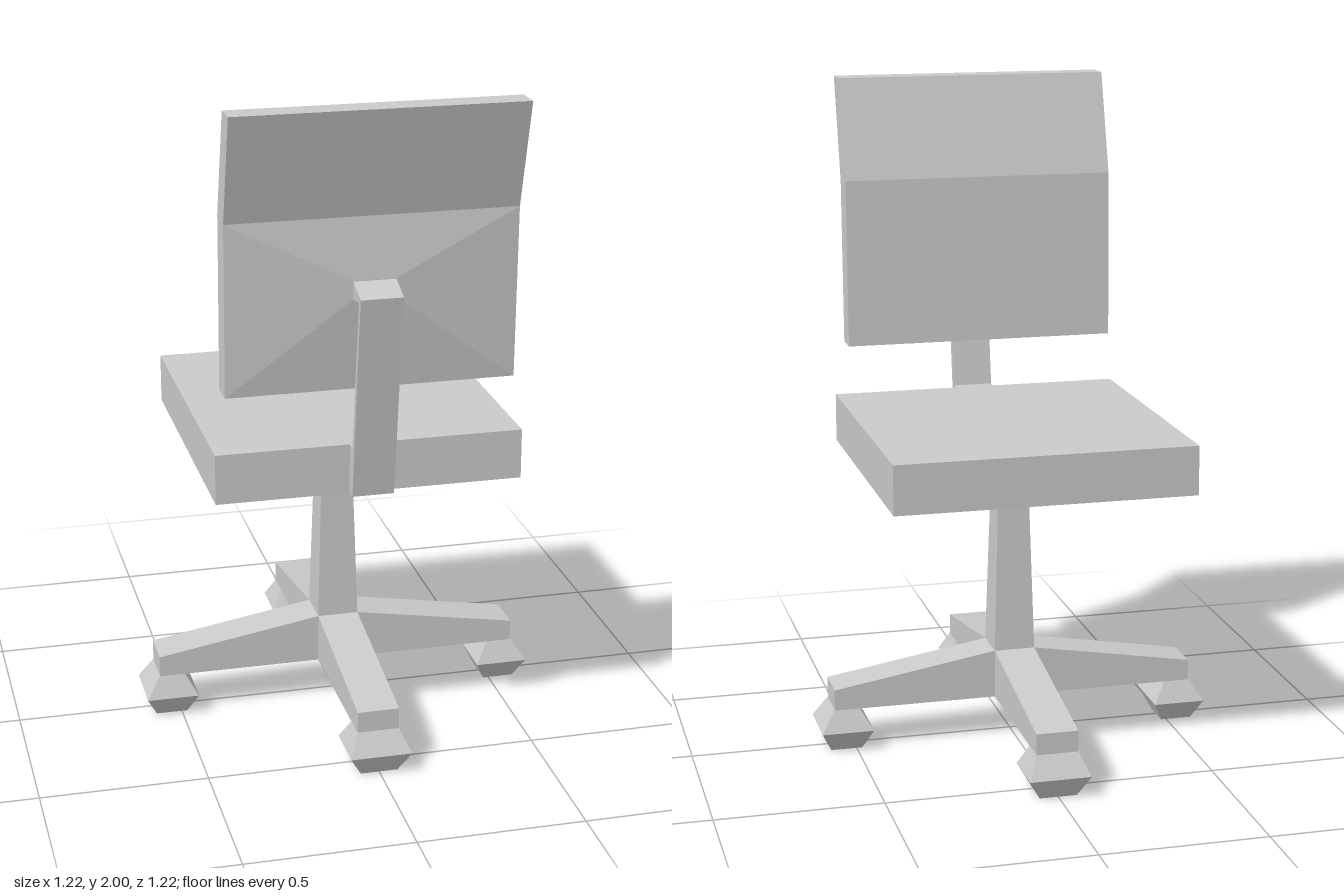
import * as THREE from 'three';

const material = new THREE.MeshStandardMaterial({ color: 0xcccccc, flatShading: true });

function addMesh(parent, name, geometry) {
  const mesh = new THREE.Mesh(geometry, material);
  mesh.name = name;
  parent.add(mesh);
  return mesh;
}

// Flat-faced solid through four-cornered rings, counter-clockwise seen from the end.
function loft(rings) {
  const points = [];
  const quad = (a, b, c, d) => points.push(...a, ...b, ...c, ...a, ...c, ...d);
  for (let r = 0; r < rings.length - 1; r++) {
    const a = rings[r], b = rings[r + 1];
    for (let i = 0; i < 4; i++) {
      const j = (i + 1) % 4;
      quad(a[i], a[j], b[j], b[i]);
    }
  }
  const [s0, s1, s2, s3] = rings[0];
  quad(s3, s2, s1, s0);
  quad(...rings[rings.length - 1]);
  const geometry = new THREE.BufferGeometry();
  geometry.setAttribute('position', new THREE.Float32BufferAttribute(points, 3));
  geometry.computeVertexNormals();
  return geometry;
}

// Horizontal rectangle with half sizes hx and hz at height y.
const level = (y, hx, hz, cz = 0) => [
  [-hx, y, cz + hz], [hx, y, cz + hz], [hx, y, cz - hz], [-hx, y, cz - hz],
];

// Side profile given as [z, y] points, extruded across x.
function sideExtrude(profile, width) {
  const shape = new THREE.Shape(profile.map(([z, y]) => new THREE.Vector2(z, y)));
  return new THREE.ExtrudeGeometry(shape, { depth: width, bevelEnabled: false })
    .translate(0, 0, -width / 2)
    .rotateY(-Math.PI / 2);
}

export function createModel() {
  const chair = new THREE.Group();
  chair.name = 'swivelChair';

  // Seat cushion with a shallow pyramid underneath
  addMesh(chair, 'seat', loft([
    level(0.82, 0.048, 0.048), level(0.85, 0.456, 0.458), level(1, 0.456, 0.458),
  ]));

  // Tapered square column and the hub of the base
  addMesh(chair, 'column', loft([level(0.28, 0.063, 0.063), level(0.825, 0.047, 0.047)]));
  addMesh(chair, 'hub', loft([level(0.13, 0.063, 0.063), level(0.28, 0.063, 0.063)]));

  // Four legs, each with a faceted caster
  const legProfile = [[0.063, 0.13], [0.567, 0.13], [0.567, 0.195], [0.063, 0.28]];
  for (let k = 0; k < 4; k++) {
    const unit = new THREE.Group();
    unit.name = 'legUnit' + (k + 1);
    unit.rotation.y = k * Math.PI / 2;
    addMesh(unit, 'leg', sideExtrude(legProfile, 0.126));
    addMesh(unit, 'caster', loft([
      level(0, 0.056, 0.048, 0.531),
      level(0.065, 0.093, 0.08, 0.531),
      level(0.13, 0.063, 0.04, 0.529),
    ]));
    chair.add(unit);
  }

  // Bent backrest pad
  addMesh(chair, 'backrest', sideExtrude([
    [0.378, 1.17], [0.46, 1.17], [0.476, 1.68], [0.567, 2], [0.483, 2], [0.393, 1.69],
  ], 0.85));

  // Shallow raised panel behind the lower half of the pad
  addMesh(chair, 'backPanel', loft([
    [[-0.425, 1.17, 0.46], [0.425, 1.17, 0.46], [0.425, 1.68, 0.476], [-0.425, 1.68, 0.476]],
    [[-0.062, 1.445, 0.495], [0.062, 1.445, 0.495], [0.062, 1.5, 0.495], [-0.062, 1.5, 0.495]],
  ]));

  // Strut from the rear of the seat up to the backrest
  addMesh(chair, 'backStrut', sideExtrude([
    [0.45, 0.85], [0.49, 0.85], [0.578, 1.468], [0.49, 1.5],
    [0.49, 1.445], [0.558, 1.455], [0.488, 1], [0.45, 1],
  ], 0.124));

  return chair;
}
